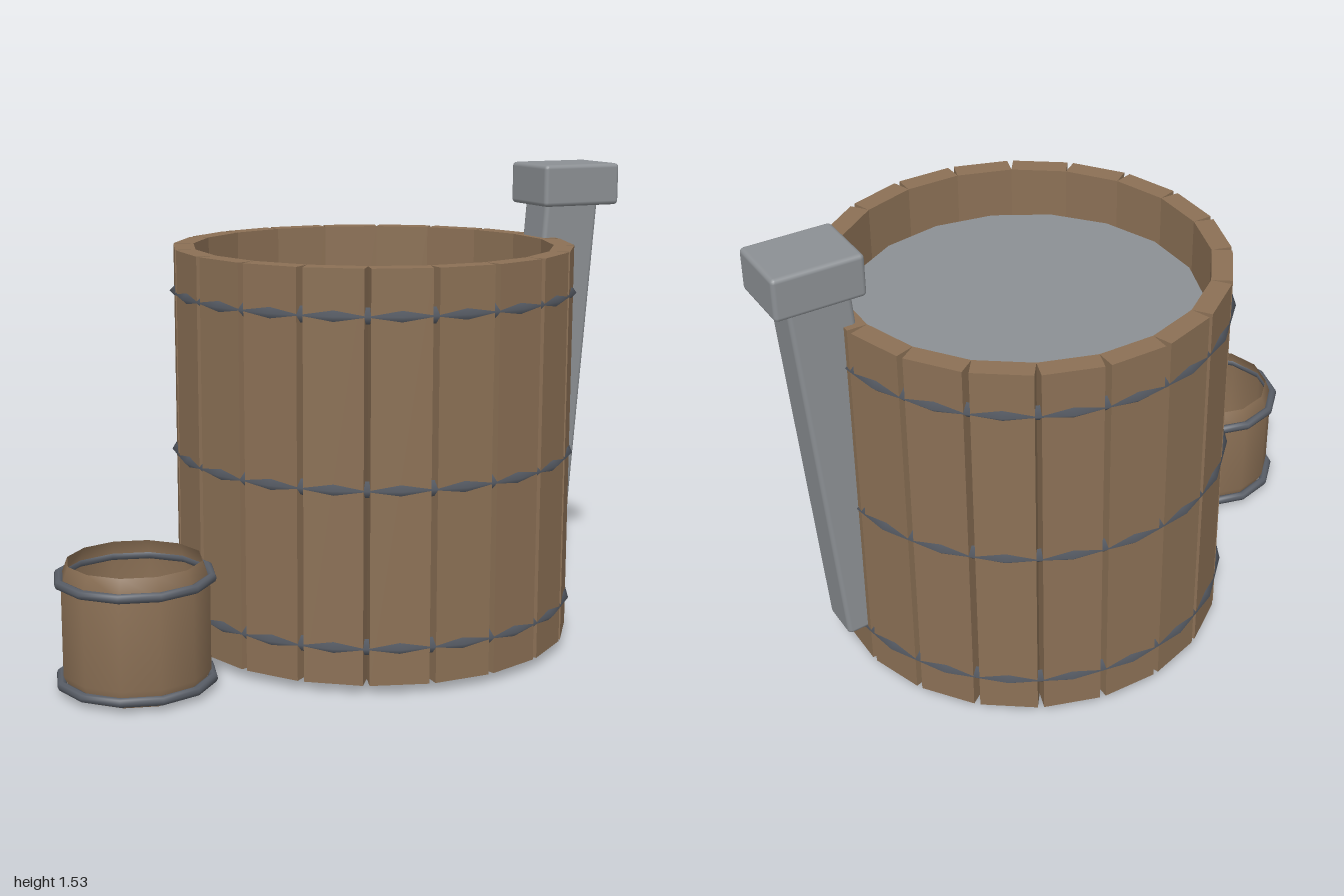
import * as THREE from 'three';
import { RoundedBoxGeometry } from 'three/addons/geometries/RoundedBoxGeometry.js';

const paint = (color, side = THREE.FrontSide) => {
  const material = new THREE.MeshStandardMaterial({ color });
  material.side = side;
  return material;
};

function add(parent, name, geometry, material, x = 0, y = 0, z = 0) {
  const mesh = new THREE.Mesh(geometry, material);
  mesh.name = name;
  mesh.position.set(x, y, z);
  parent.add(mesh);
  return mesh;
}

function group(parent, name, x, z) {
  const g = new THREE.Group();
  g.name = name;
  g.position.set(x, 0, z);
  parent.add(g);
  return g;
}

export function createModel() {
  const model = new THREE.Group();
  model.name = 'washTub';
  const wood = paint(0x8b7055);
  const woodShell = paint(0x8b7055, THREE.DoubleSide);
  const iron = paint(0x585d66);
  const grey = paint(0x8c9094);

  // Tub: a ring of straight staves with narrow gaps
  const tub = group(model, 'tub', 0.14, 0);
  const staves = 20;
  const staveGeometry = new THREE.BoxGeometry(0.182, 1.26, 0.065);
  for (let i = 0; i < staves; i++) {
    const a = (i / staves) * Math.PI * 2;
    const r = 0.6055;
    const stave = add(tub, 'stave', staveGeometry, wood, Math.sin(a) * r, 0.66, Math.cos(a) * r);
    stave.rotation.y = a;
  }

  // Floor and water inside the staves
  add(tub, 'tubFloor', new THREE.CylinderGeometry(0.578, 0.578, 0.06, 18), wood, 0, 0.07, 0);
  add(tub, 'water', new THREE.CylinderGeometry(0.567, 0.567, 1.03, 18), grey, 0, 0.615, 0);

  // Diamond-section hoops, with a corner at the middle of every stave
  const hoopGeometry = new THREE.TorusGeometry(0.63, 0.025, 4, staves).rotateX(Math.PI / 2);
  for (const y of [0.145, 0.632, 1.15]) add(tub, 'tubHoop', hoopGeometry, iron, 0, y, 0);

  // Leaning spout post with its block head
  const post = add(model, 'spoutPost', new RoundedBoxGeometry(0.2, 1.28, 0.14, 2, 0.015), grey, 0.795, 0.785, 0);
  post.rotation.z = -0.08;
  add(model, 'spoutHead', new RoundedBoxGeometry(0.285, 0.137, 0.225, 2, 0.014), grey, 0.856, 1.464, 0);

  // Small open bucket
  const bucket = group(model, 'bucket', -0.75, 0.2);
  const profile = [[0.2, 0], [0.23, 0.06], [0.23, 0.34], [0.207, 0.4]]
    .map(([r, y]) => new THREE.Vector2(r, y));
  add(bucket, 'bucketWall', new THREE.LatheGeometry(profile, 12), woodShell);
  const ringGeometry = new THREE.TorusGeometry(0.235, 0.015, 8, 12).rotateX(Math.PI / 2);
  for (const y of [0.03, 0.347]) add(bucket, 'bucketHoop', ringGeometry, iron, 0, y, 0);

  return model;
}
